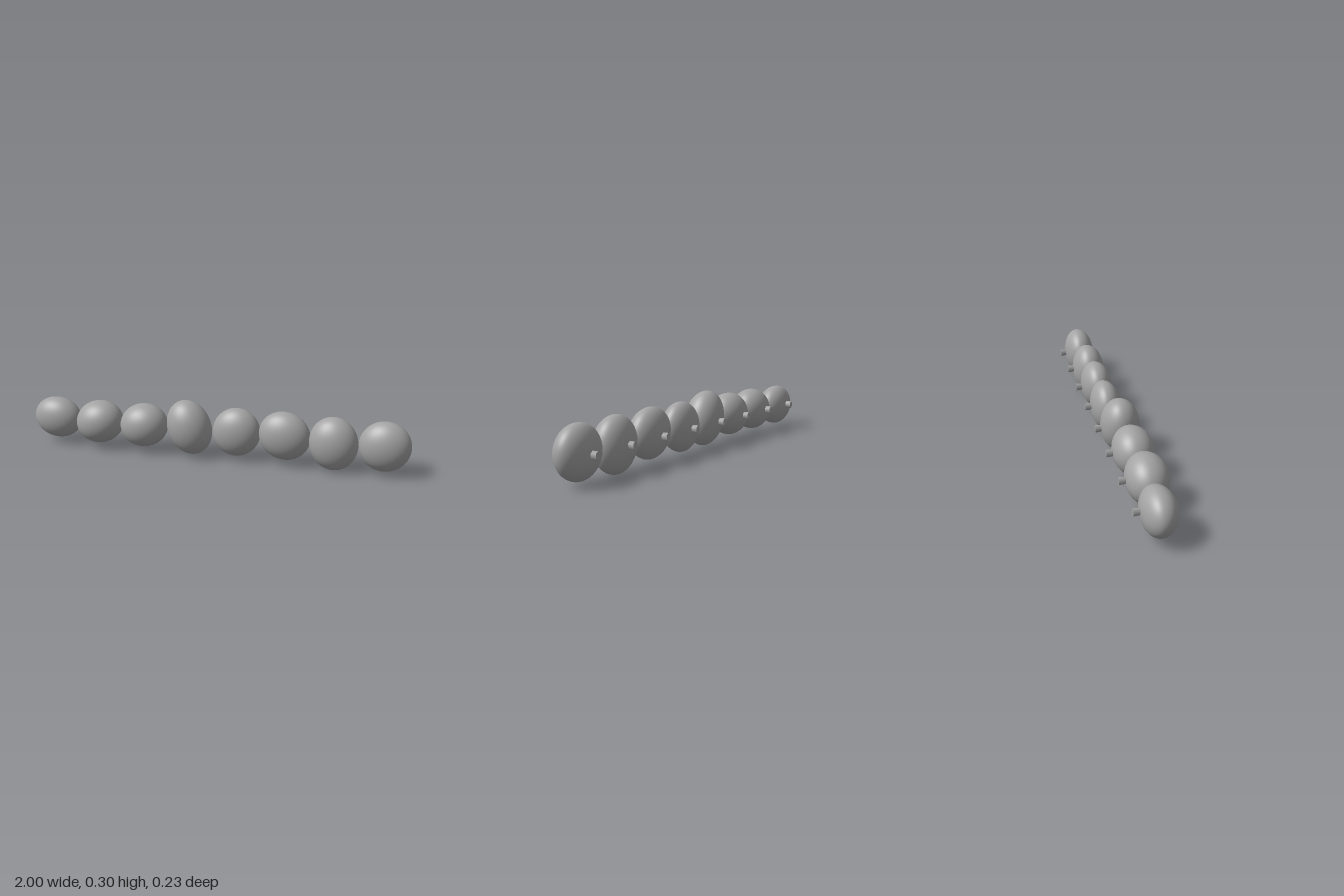
import * as THREE from 'three';

// One row per pebble: centre x, centre y, semi-axes a and b, tilt in degrees, front z
const PEBBLES = [
  [-0.870, 0.139, 0.131, 0.111, -6, 0.078],
  [-0.618, 0.144, 0.129, 0.114, 14, 0.117],
  [-0.369, 0.148, 0.128, 0.115, 10, 0.115],
  [-0.122, 0.158, 0.115, 0.146, 20, 0.107],
  [0.124, 0.149, 0.124, 0.128, -15, 0.070],
  [0.374, 0.155, 0.133, 0.124, -25, 0.077],
  [0.622, 0.141, 0.122, 0.138, 8, 0.088],
  [0.872, 0.150, 0.128, 0.128, 0, 0.078],
];
const BACK_Z = -0.087;

// Smooth pebble whose front and back halves differ in depth
function pebbleGeometry(a, b, front) {
  const equator = (front + BACK_Z) / 2 - 0.006;
  const geo = new THREE.SphereGeometry(1, 64, 48);
  geo.rotateX(Math.PI / 2);
  const pos = geo.attributes.position;
  const normal = geo.attributes.normal;
  const n = new THREE.Vector3();
  for (let i = 0; i < pos.count; i++) {
    const x = pos.getX(i), y = pos.getY(i), z = pos.getZ(i);
    const depth = z > 0 ? front - equator : equator - BACK_Z;
    pos.setXYZ(i, x * a, y * b, equator + z * depth);
    n.set(x / a, y / b, z / depth).normalize();
    normal.setXYZ(i, n.x, n.y, n.z);
  }
  return geo;
}

// Slightly flared six-sided peg, pointing backwards
function pegGeometry() {
  const geo = new THREE.CylinderGeometry(0.018, 0.021, 0.047, 6);
  geo.rotateX(Math.PI / 2);
  geo.scale(0.72, 1, 1);
  return geo;
}

export function createModel() {
  const model = new THREE.Group();
  model.name = 'pebbleRow';
  const grey = new THREE.MeshStandardMaterial({ color: 0xa3a3a3 });
  grey.name = 'stone grey';
  const pegGeo = pegGeometry();

  PEBBLES.forEach(([x, y, a, b, tilt, front], i) => {
    const pebble = new THREE.Mesh(pebbleGeometry(a, b, front), grey);
    pebble.name = `pebble${i + 1}`;
    pebble.position.set(x, y, 0);
    pebble.rotation.z = THREE.MathUtils.degToRad(tilt);
    model.add(pebble);

    // Pegs sit on one even line behind the row
    const peg = new THREE.Mesh(pegGeo, grey);
    peg.name = `peg${i + 1}`;
    peg.position.set((i - 3.5) * 0.248, 0.146, -0.0935);
    model.add(peg);
  });
  return model;
}
